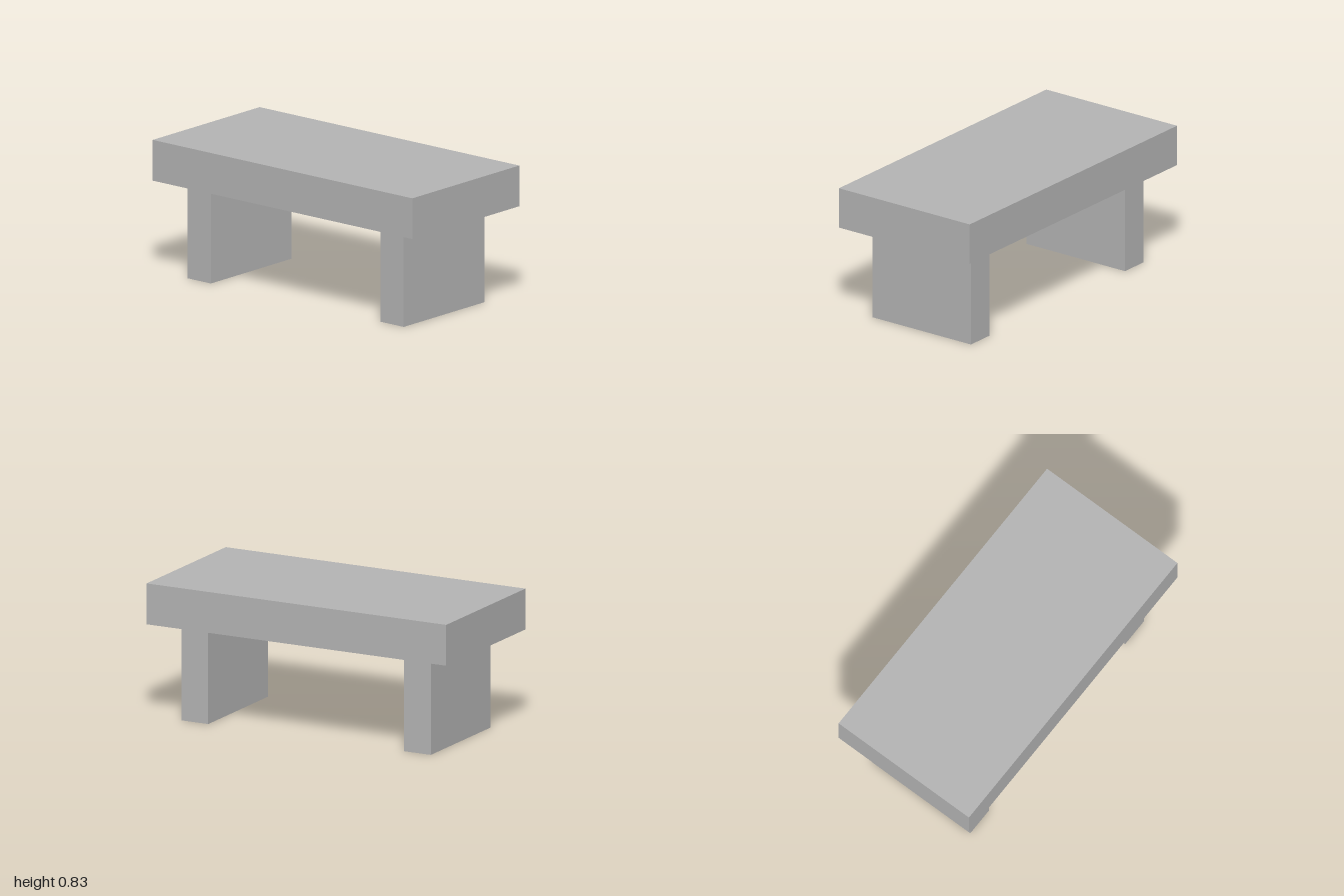
import * as THREE from 'three';

// Box shell with no underside, standing on y = 0
function openBox(width, height, depth) {
  const geometry = new THREE.BoxGeometry(width, height, depth);
  const index = Array.from(geometry.index.array);
  index.splice(18, 6); // drop the bottom face
  geometry.setIndex(index);
  geometry.clearGroups();
  geometry.translate(0, height / 2, 0);
  return geometry;
}

export function createModel() {
  const model = new THREE.Group();
  model.name = 'bench';

  const grey = new THREE.MeshStandardMaterial({ color: 0xb4b4b4, side: THREE.DoubleSide });
  grey.name = 'grey';

  const legHeight = 0.587;

  // Thick seat slab, hollow underneath
  const seat = new THREE.Mesh(openBox(2, 0.247, 0.962), grey);
  seat.name = 'seat';
  seat.position.y = legHeight;
  model.add(seat);

  // Two slab legs, mirrored across x
  for (const [name, side] of [['leftLeg', 1], ['rightLeg', -1]]) {
    const leg = new THREE.Mesh(openBox(0.178, legHeight, 0.724), grey);
    leg.name = name;
    leg.position.x = side * 0.743;
    model.add(leg);
  }

  return model;
}
